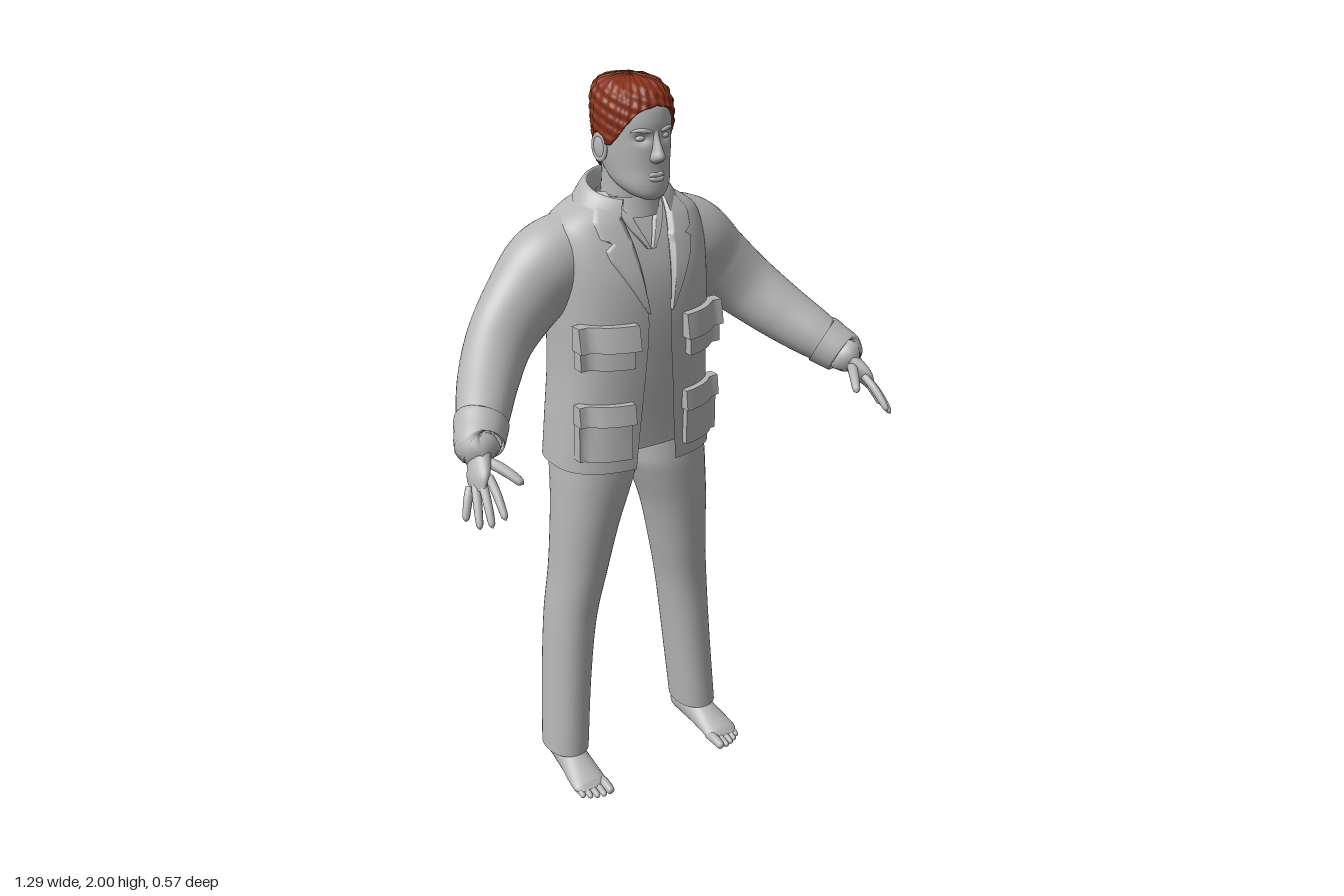
import * as THREE from 'three';
import { ParametricGeometry } from 'three/addons/geometries/ParametricGeometry.js';

const grey = new THREE.MeshStandardMaterial({ color: 0xb6b6b6, side: THREE.DoubleSide });
grey.name = 'plain grey';
const rust = new THREE.MeshStandardMaterial({ color: 0x853018, side: THREE.DoubleSide });
rust.name = 'rust hair';

const V = (x, y, z) => new THREE.Vector3(x, y, z);
const spow = (s, p) => Math.sign(s) * Math.pow(Math.abs(s), p);

// Smooth interpolation of table rows; the first column is the key
function at(rows, k) {
  const n = rows.length;
  k = Math.min(Math.max(k, rows[0][0]), rows[n - 1][0]);
  let i = 0;
  while (i < n - 2 && k > rows[i + 1][0]) i++;
  const a = rows[i], b = rows[i + 1], h = b[0] - a[0], u = (k - a[0]) / h;
  const slope = (j, c) => {
    const p = rows[Math.max(j - 1, 0)], q = rows[Math.min(j + 1, n - 1)];
    return (q[c] - p[c]) / (q[0] - p[0]);
  };
  return a.map((_, c) => c === 0 ? k :
    a[c] * (1 + 2 * u) * (1 - u) ** 2 + b[c] * u * u * (3 - 2 * u) +
    h * (slope(i, c) * u * (1 - u) ** 2 + slope(i + 1, c) * u * u * (u - 1)));
}

function add(parent, name, geometry, material = grey) {
  const mesh = new THREE.Mesh(geometry, material);
  mesh.name = name;
  parent.add(mesh);
  return mesh;
}
const surface = (fn, nu, nv) => new ParametricGeometry((u, v, t) => t.copy(fn(u, v)), nu, nv);

// Point on a horizontal section [y, rx, zFront, zBack, cx]; angle 0 is the front
function onRing([y, rx, zf, zb, cx = 0], a, n = 2) {
  return V(cx + rx * spow(Math.sin(a), 2 / n), y,
    (zf + zb) / 2 + (zf - zb) / 2 * spow(Math.cos(a), 2 / n));
}
// Upright loft through horizontal sections
function loft(rows, n, nu, nv, y0 = rows[0][0], y1 = rows[rows.length - 1][0]) {
  return surface((u, v) => onRing(at(rows, y0 + (y1 - y0) * v), u * Math.PI * 2, n), nu, nv);
}
// Limb through centres [x, y, z, radius, sideRadius]
function limb(rows, nu = 24, nv = 32, ref = V(0, 0, 1)) {
  const curve = new THREE.CatmullRomCurve3(rows.map(r => V(r[0], r[1], r[2])));
  const radii = rows.map((r, i) => [i, r[3], r[4] ?? r[3]]);
  return surface((u, v) => {
    const T = curve.getTangent(v), N = ref.clone().cross(T).normalize(), B = T.clone().cross(N);
    const [, rn, rb] = at(radii, v * (rows.length - 1)), a = u * Math.PI * 2;
    return curve.getPoint(v).addScaledVector(N, rn * Math.cos(a)).addScaledVector(B, rb * Math.sin(a));
  }, nu, nv);
}
// Finger or toe with a rounded tip
function digit(a, b, r, lift, ref) {
  const p = t => a.map((c, i) => c + (b[i] - c) * t + (i === 1 ? lift * Math.sin(Math.PI * t) : 0));
  return limb([[...p(0), r], [...p(0.35), r * 1.05], [...p(0.7), r * 0.95], [...p(0.93), r * 0.75], [...p(1), r * 0.1]], 12, 20, ref);
}

// Jacket body: y, half width, front z, back z
const TORSO = [
  [0.982, 0.235, 0.03, -0.285], [1.1, 0.226, 0.034, -0.281], [1.25, 0.215, 0.042, -0.278],
  [1.4, 0.214, 0.045, -0.28], [1.5, 0.215, 0.035, -0.275], [1.58, 0.215, 0.01, -0.263],
  [1.64, 0.203, -0.02, -0.248], [1.67, 0.165, -0.04, -0.235], [1.69, 0.125, -0.055, -0.222],
  [1.71, 0.095, -0.07, -0.205]];
const GAP = [[0.98, 0.062], [1.2, 0.045], [1.4, 0.033], [1.55, 0.045], [1.71, 0.075]];
const N_TORSO = 2.6;

// Front surface depth of the jacket
function frontZ(x, y) {
  const [, rx, zf, zb] = at(TORSO, y), k = Math.min(Math.abs(x) / rx, 0.87);
  return (zf + zb) / 2 + (zf - zb) / 2 * Math.pow(1 - Math.pow(k, N_TORSO), 1 / N_TORSO);
}
// Raised cloth strip lying on the chest; rows are [y, xInner, xOuter]
function strip(rows, depth, base) {
  const y0 = rows[0][0], y1 = rows[rows.length - 1][0];
  return surface((u, v) => {
    const y = y0 + (y1 - y0) * v;
    const i = Math.max(0, rows.findIndex((r, j) => j < rows.length - 1 && y <= rows[j + 1][0] + 1e-9));
    const a = rows[i], b = rows[i + 1], t = (y - a[0]) / (b[0] - a[0]);
    const xi = a[1] + (b[1] - a[1]) * t, xo = a[2] + (b[2] - a[2]) * t, x = xi + (xo - xi) * u;
    return V(x, y, frontZ(x, y) + base + depth * Math.min(1, 7 * Math.min(u, 1 - u)));
  }, 14, 40);
}
// Pocket block bent round the jacket
function pocket(cx, cy, w, h, d, flare) {
  const g = new THREE.BoxGeometry(w, h, d, 10, 4, 1), p = g.attributes.position;
  for (let i = 0; i < p.count; i++) {
    const x = p.getX(i) + cx, y = p.getY(i) + cy;
    const out = p.getZ(i) > 0 ? -flare * p.getY(i) / h : 0;
    p.setXYZ(i, x, y, frontZ(x, y) + p.getZ(i) + d / 2 - 0.012 + out);
  }
  g.computeVertexNormals();
  return g;
}

const HEAD = [
  [1.703, 0.02, 0.018, -0.02], [1.715, 0.045, 0.03, -0.07], [1.74, 0.066, 0.033, -0.125],
  [1.78, 0.077, 0.029, -0.17], [1.82, 0.083, 0.028, -0.186], [1.86, 0.086, 0.027, -0.19],
  [1.9, 0.087, 0.027, -0.195], [1.94, 0.082, 0.014, -0.19], [1.97, 0.062, -0.02, -0.17],
  [1.983, 0.01, -0.08, -0.11]];
const HAIR = [
  [1.74, 0.07, 0.02, -0.182], [1.8, 0.086, 0.028, -0.193], [1.86, 0.092, 0.031, -0.2],
  [1.9, 0.093, 0.033, -0.205], [1.94, 0.09, 0.025, -0.205], [1.97, 0.077, 0.002, -0.195],
  [1.988, 0.052, -0.035, -0.165], [1.998, 0.004, -0.09, -0.1]];
const HAIRLINE = [[0, 1.935], [0.5, 1.92], [0.9, 1.88], [1.2, 1.845], [1.45, 1.835], [1.75, 1.86],
  [2.1, 1.8], [2.45, 1.76], [Math.PI, 1.748]];

function buildHead(g) {
  add(g, 'neck', limb([[0, 1.58, -0.125, 0.075, 0.08], [0, 1.66, -0.115, 0.067, 0.076], [0, 1.72, -0.108, 0.064, 0.076], [0, 1.8, -0.1, 0.064, 0.075]], 32, 16));
  add(g, 'head', surface((u, v) => {
    const p = onRing(at(HEAD, 1.703 + 0.28 * (0.5 - 0.5 * Math.cos(Math.PI * v))), u * Math.PI * 2, 2.15);
    const ex = (Math.abs(p.x) - 0.034) / 0.018, ey = (p.y - 1.857) / 0.012;
    if (p.z > -0.05) p.z -= 0.012 * Math.exp(-ex * ex - ey * ey); // eye sockets
    return p;
  }, 80, 64));
  add(g, 'nose', loft([[1.795, 0.012, 0.03, 0], [1.805, 0.018, 0.05, 0], [1.815, 0.018, 0.056, 0],
    [1.83, 0.013, 0.05, 0], [1.855, 0.009, 0.037, 0], [1.875, 0.01, 0.028, 0]], 2, 20, 20));
  for (const [name, y, r] of [['upperLip', 1.769, 0.006], ['lowerLip', 1.758, 0.0065]])
    add(g, name, limb([[-0.026, 1.763, 0.02, 0.002], [-0.012, y, 0.029, r], [0, y - 0.001, 0.031, r], [0.012, y, 0.029, r], [0.026, 1.763, 0.02, 0.002]], 10, 20));
  // Hair cap with a shaped lower edge, tucked under at the rim
  add(g, 'hair', surface((u, v) => {
    const a = u * Math.PI * 2, low = at(HAIRLINE, Math.min(a, Math.PI * 2 - a))[1];
    const s = Math.max(0, (v - 0.04) / 0.96);
    const row = at(HAIR, low + (1.998 - low) * Math.sin(s * Math.PI / 2));
    const tuft = 0.003 * Math.sin(a * 17 + row[0] * 90) * Math.sin(a * 9 - row[0] * 140) * Math.min(1, 5 * (1 - v));
    const grow = tuft - 0.018 * Math.max(0, 1 - v / 0.04);
    return onRing([row[0] + tuft * 0.5, row[1] + grow, row[2] + grow, row[3] - grow], a, 2.2);
  }, 120, 50), rust);
}

// Everything that occurs on both sides, built for the left
function buildSide(g) {
  const eye = add(g, 'eye', new THREE.SphereGeometry(0.011, 16, 12));
  eye.position.set(0.034, 1.857, 0.006);
  eye.scale.set(1.3, 0.7, 1);
  add(g, 'brow', limb([[0.012, 1.873, 0.027, 0.003], [0.03, 1.877, 0.022, 0.006], [0.045, 1.878, 0.015, 0.005], [0.06, 1.874, 0.003, 0.002]], 10, 16));
  const ear = new THREE.Group();
  ear.name = 'ear';
  add(ear, 'earBody', new THREE.SphereGeometry(1, 16, 12)).scale.set(0.007, 0.03, 0.019);
  add(ear, 'earRim', new THREE.TorusGeometry(0.02, 0.005, 8, 24).rotateY(Math.PI / 2)).scale.set(1, 1.5, 1);
  ear.position.set(0.092, 1.825, -0.09);
  ear.rotation.set(-0.15, -0.3, 0);
  g.add(ear);

  // Sleeve and turned cuff
  add(g, 'sleeve', limb([[0.12, 1.575, -0.14, 0.1, 0.09], [0.215, 1.525, -0.147, 0.115, 0.104], [0.3, 1.45, -0.137, 0.104, 0.088],
    [0.38, 1.377, -0.105, 0.091, 0.076], [0.45, 1.31, -0.04, 0.08, 0.074], [0.51, 1.255, 0.04, 0.068, 0.066], [0.555, 1.215, 0.105, 0.054, 0.053]], 40, 60));
  add(g, 'cuff', limb([[0.522, 1.244, 0.058, 0.06], [0.526, 1.241, 0.062, 0.068], [0.54, 1.228, 0.084, 0.065], [0.56, 1.21, 0.113, 0.06], [0.56, 1.209, 0.115, 0.052], [0.553, 1.217, 0.103, 0.04]], 36, 30));

  // Hand with spread fingers
  add(g, 'palm', limb([[0.545, 1.225, 0.09, 0.026, 0.03], [0.572, 1.19, 0.135, 0.023, 0.034], [0.592, 1.155, 0.167, 0.018, 0.04], [0.603, 1.128, 0.187, 0.006, 0.025]], 24, 20));
  const fingers = [
    ['indexFinger', [0.575, 1.162, 0.19], [0.583, 1.09, 0.283]], ['middleFinger', [0.59, 1.15, 0.182], [0.61, 1.07, 0.266]],
    ['ringFinger', [0.602, 1.14, 0.17], [0.63, 1.06, 0.24]], ['littleFinger', [0.61, 1.13, 0.155], [0.642, 1.063, 0.19]],
    ['thumb', [0.567, 1.185, 0.14], [0.51, 1.145, 0.237]]];
  for (const [name, a, b] of fingers) add(g, name, digit(a, b, name === 'thumb' ? 0.013 : 0.0105, 0.008));

  // Trouser leg
  add(g, 'trouserLeg', loft([[0.075, 0.061, -0.035, -0.195, 0.225], [0.3, 0.064, -0.043, -0.21, 0.208], [0.5, 0.069, -0.042, -0.215, 0.189],
    [0.65, 0.077, -0.026, -0.212, 0.166], [0.8, 0.092, -0.01, -0.213, 0.144], [0.9, 0.108, -0.002, -0.225, 0.123],
    [0.95, 0.115, 0, -0.235, 0.114], [1.1, 0.11, -0.005, -0.245, 0.106]], 2.2, 40, 50));

  // Bare foot
  const ref = V(-1, 0, 0);
  add(g, 'foot', limb([[0.22, 0.035, -0.192, 0.006, 0.006], [0.22, 0.037, -0.175, 0.034, 0.032], [0.222, 0.05, -0.12, 0.05, 0.042], [0.226, 0.041, -0.06, 0.041, 0.045],
    [0.23, 0.029, 0, 0.028, 0.05], [0.232, 0.021, 0.04, 0.019, 0.05], [0.233, 0.018, 0.06, 0.006, 0.035]], 28, 36, ref));
  add(g, 'ankle', limb([[0.222, 0.04, -0.13, 0.04, 0.05], [0.222, 0.1, -0.125, 0.038, 0.045], [0.222, 0.18, -0.12, 0.042, 0.05]], 24, 10));
  [[0.194, 0.097, 0.014], [0.215, 0.096, 0.01], [0.234, 0.09, 0.0095], [0.252, 0.081, 0.009], [0.269, 0.068, 0.009]].forEach(([x, z, r], i) =>
    add(g, 'toe' + (i + 1), digit([x, r + 0.005, 0.025], [x, r, z], r, 0.004, ref)));

  // Lapel with a notch, shirt collar flap and patch pockets
  add(g, 'lapel', strip([[1.42, 0.033, 0.036], [1.56, 0.046, 0.123], [1.585, 0.05, 0.13], [1.6, 0.052, 0.108],
    [1.612, 0.055, 0.136], [1.65, 0.063, 0.142], [1.685, 0.07, 0.12]], 0.013, -0.002));
  add(g, 'shirtCollar', strip([[1.575, 0.001, 0.012], [1.62, 0.018, 0.045], [1.66, 0.034, 0.066], [1.7, 0.05, 0.08]], 0.01, -0.012));
  add(g, 'upperPocket', pocket(0.15, 1.325, 0.13, 0.08, 0.034, 0.004));
  add(g, 'upperPocketFlap', pocket(0.146, 1.368, 0.146, 0.066, 0.04, 0.012));
  add(g, 'lowerPocket', pocket(0.15, 1.085, 0.13, 0.12, 0.03, 0.004));
  add(g, 'lowerPocketFlap', pocket(0.148, 1.155, 0.138, 0.055, 0.036, 0.01));
}

export function createModel() {
  const model = new THREE.Group();
  model.name = 'standingMan';
  buildHead(model);

  // Open jacket and the shirt beneath it
  add(model, 'jacketBody', surface((u, v) => {
    const row = at(TORSO, 0.982 + 0.728 * v);
    const start = Math.asin(Math.pow(at(GAP, row[0])[1] / row[1], N_TORSO / 2));
    return onRing(row, start + (Math.PI * 2 - 2 * start) * u, N_TORSO);
  }, 80, 60));
  add(model, 'shirt', loft(TORSO.map(([y, rx, zf, zb]) => [y, rx - 0.02, zf - 0.018, zb + 0.02]), N_TORSO, 60, 40, 1.03, 1.7));
  add(model, 'shirtNeckband', loft([[1.65, 0.088, -0.02, -0.2], [1.7, 0.078, -0.032, -0.196]], 2, 40, 4));

  // Folded collar, lower toward the front
  const fold = [[0, 0.146, 1.698], [0.55, 0.118, 1.738], [0.7, 0.104, 1.742], [1, 0.088, 1.69]];
  add(model, 'jacketCollar', surface((u, v) => {
    const [, r, y] = at(fold, v), a = 0.55 + (Math.PI * 2 - 1.1) * u;
    const z = -0.115 + (0.025 + r * 0.6) * Math.cos(a);
    return V(r * Math.sin(a), y - 0.3 * (z + 0.19), z);
  }, 60, 20));

  const left = new THREE.Group();
  left.name = 'leftSide';
  buildSide(left);
  const right = left.clone();
  right.name = 'rightSide';
  right.scale.x = -1;
  model.add(left, right);
  return model;
}
